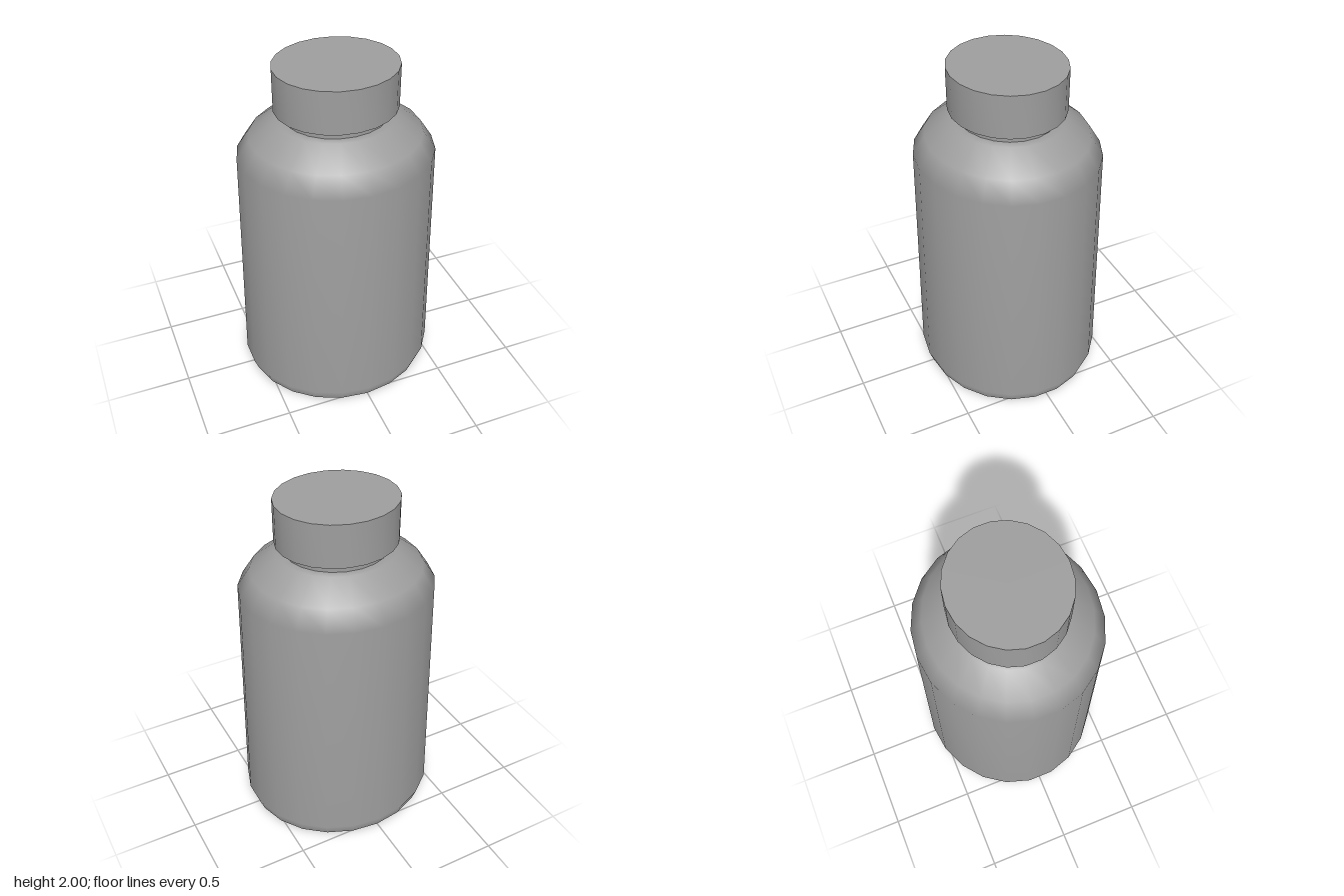
import * as THREE from 'three';
import { mergeGeometries, mergeVertices } from 'three/addons/utils/BufferGeometryUtils.js';

const SIDES = 22;
const DEPTH = 0.932; // oval cross-section: depth relative to width

// One smooth oval band from a profile of [radius, height], with area-weighted normals
function ovalBand(profile) {
  const lathe = new THREE.LatheGeometry(profile.map(([r, y]) => new THREE.Vector2(r, y)), SIDES);
  lathe.scale(1, 1, DEPTH);
  lathe.deleteAttribute('normal');
  lathe.deleteAttribute('uv');
  const band = mergeVertices(lathe);
  band.computeVertexNormals();
  return band;
}

// Edges between the bands of a part stay sharp.
function ovalPart(name, profiles, material) {
  const mesh = new THREE.Mesh(mergeGeometries(profiles.map(ovalBand)), material);
  mesh.name = name;
  return mesh;
}

export function createModel() {
  const model = new THREE.Group();
  model.name = 'bottle';
  const grey = new THREE.MeshStandardMaterial({ color: 0x9e9e9e });

  // Tapered body with bevelled foot and rounded shoulder running into the rim
  model.add(ovalPart('body', [
    [[0, 0], [0.565, 0]],
    [[0.565, 0], [0.591, 0.07], [0.564, 1.48], [0.491, 1.59], [0.348, 1.7], [0.298, 1.7]],
  ], grey));

  // Short neck between shoulder and cap
  model.add(ovalPart('neck', [
    [[0.298, 1.7], [0.298, 1.75]],
  ], grey));

  // Closed cap overhanging the neck
  model.add(ovalPart('cap', [
    [[0, 1.75], [0.35, 1.75]],
    [[0.35, 1.75], [0.35, 2]],
    [[0.35, 2], [0, 2]],
  ], grey));

  return model;
}
